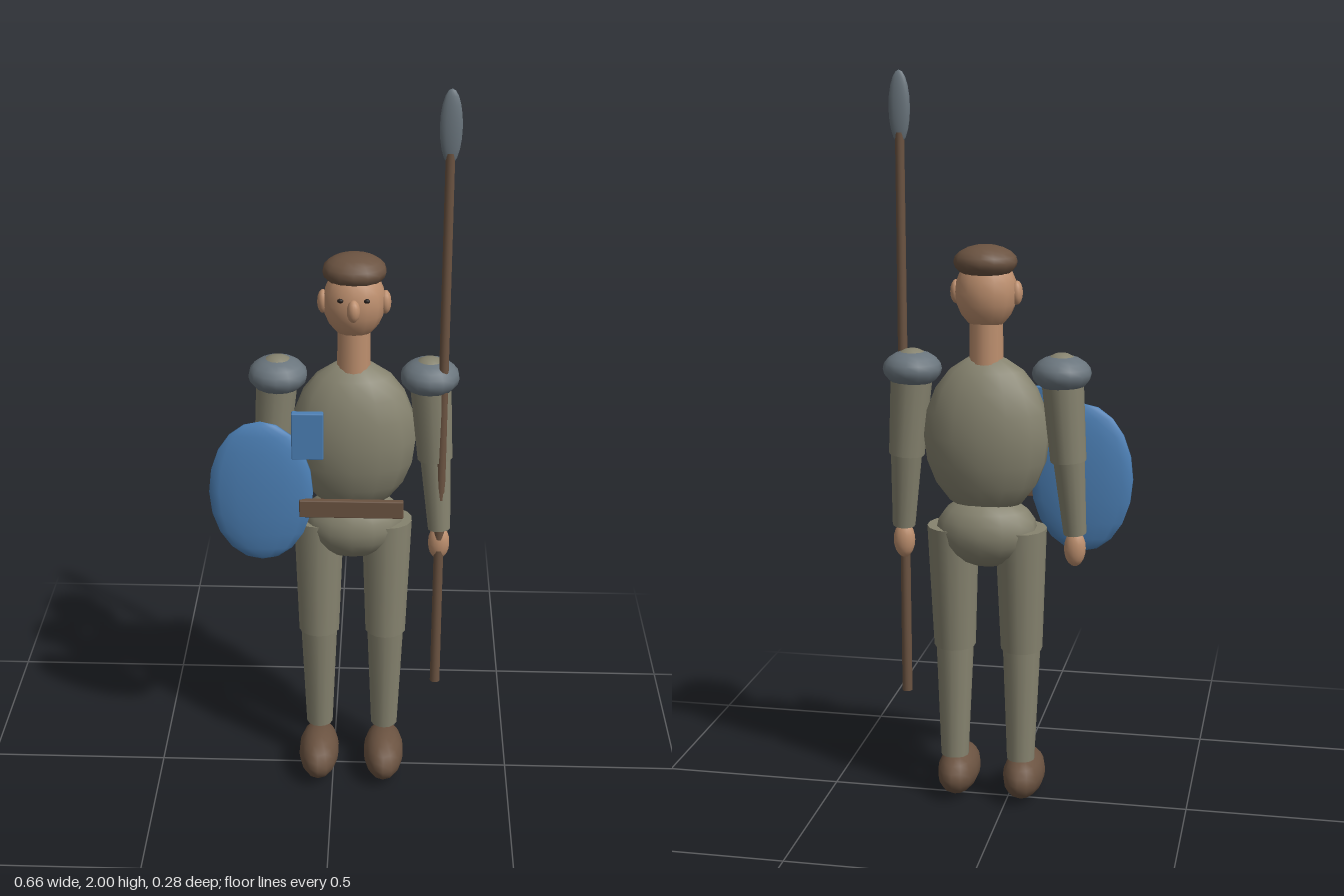
import * as THREE from 'three';
import { RoundedBoxGeometry } from 'three/addons/geometries/RoundedBoxGeometry.js';

const material = (name, color) => {
  const m = new THREE.MeshStandardMaterial({ color });
  m.name = name;
  return m;
};

export function createModel() {
  const cloth = material('cloth', 0x86836f);
  const brown = material('brown leather', 0x6b5341);
  const skin = material('skin', 0xbd8f6e);
  const steel = material('steel', 0x6a757d);
  const blue = material('blue paint', 0x4c80b6);
  const dark = material('dark eye', 0x241d1a);

  const CX = 0.052; // body centre line
  const CZ = -0.033;
  const SEG = 14;
  const model = new THREE.Group();
  model.name = 'guard';

  function add(name, geometry, mat) {
    const mesh = new THREE.Mesh(geometry, mat);
    mesh.name = name;
    model.add(mesh);
    return mesh;
  }

  // Ellipsoid given by centre and half extents
  function ellipsoid(name, mat, [x, y, z], [rx, ry, rz], rings = 10) {
    const g = new THREE.SphereGeometry(1, SEG, rings).rotateY(Math.PI / 2);
    g.scale(rx / Math.cos(Math.PI / SEG), ry, rz);
    add(name, g, mat).position.set(x, y, z);
  }

  // Tapered limb between two points
  function limb(name, mat, from, to, r0, r1) {
    const a = new THREE.Vector3(...from);
    const b = new THREE.Vector3(...to);
    const dir = a.clone().sub(b);
    const mesh = add(name, new THREE.CylinderGeometry(r0, r1, dir.length(), SEG), mat);
    mesh.position.copy(a).add(b).multiplyScalar(0.5);
    mesh.quaternion.setFromUnitVectors(new THREE.Vector3(0, 1, 0), dir.normalize());
  }

  function box(name, mat, [x, y, z], [w, h, d]) {
    add(name, new RoundedBoxGeometry(w, h, d, 1, 0.003), mat).position.set(x, y, z);
  }

  // Trunk
  ellipsoid('torso', cloth, [CX, 1.05, CZ], [0.166, 0.22, 0.108]);
  ellipsoid('pelvis', cloth, [CX, 0.79, CZ], [0.135, 0.1, 0.1]);

  // Head
  limb('neck', skin, [CX, 1.39, CZ], [CX, 1.22, CZ], 0.043, 0.046);
  ellipsoid('head', skin, [CX, 1.435, CZ], [0.08, 0.1, 0.074]);
  ellipsoid('hair', brown, [CX, 1.515, -0.042], [0.082, 0.045, 0.076]);
  ellipsoid('nose', skin, [CX, 1.434, 0.043], [0.017, 0.03, 0.02], 8);

  // Mirrored parts
  for (const [s, side] of [[1, 'left'], [-1, 'right']]) {
    const at = (x, y, z) => [CX + s * x, y, z];

    ellipsoid(`${side}Ear`, skin, at(0.081, 1.434, -0.03), [0.015, 0.032, 0.022], 8);
    ellipsoid(`${side}Eye`, dark, at(0.034, 1.458, 0.032), [0.008, 0.006, 0.006], 6);

    // Arm
    ellipsoid(`${side}ShoulderGuard`, steel, at(0.201, 1.225, CZ), [0.077, 0.05, 0.077]);
    ellipsoid(`${side}ShoulderJoint`, cloth, at(0.201, 1.225, CZ), [0.055, 0.055, 0.055]);
    limb(`${side}UpperArm`, cloth, at(0.201, 1.235, CZ), at(0.22, 0.99, -0.03), 0.057, 0.048);
    limb(`${side}Forearm`, cloth, at(0.22, 1.01, -0.03), at(0.236, 0.785, -0.008), 0.043, 0.031);
    ellipsoid(`${side}Hand`, skin, at(0.236, 0.742, -0.006), [0.029, 0.05, 0.025]);

    // Leg
    limb(`${side}Thigh`, cloth, at(0.093, 0.8, -0.033), at(0.093, 0.455, -0.019), 0.07, 0.057);
    limb(`${side}Shin`, cloth, at(0.093, 0.47, -0.018), at(0.093, 0.135, -0.031), 0.052, 0.038);
    ellipsoid(`${side}Shoe`, brown, at(0.093, 0.07, 0.026), [0.056, 0.065, 0.115]);
  }

  // Belt front and chest plaque
  box('belt', brown, [0.05, 0.885, 0.078], [0.278, 0.05, 0.018]);
  box('chestPlaque', blue, [-0.066, 1.1, 0.081], [0.084, 0.132, 0.022]);

  // Shield
  ellipsoid('shield', blue, [-0.192, 0.922, 0.058], [0.139, 0.206, 0.03]);

  // Spear
  limb('spearShaft', brown, [0.288, 1.84, 0.004], [0.288, 0.3, 0.004], 0.012, 0.014);
  ellipsoid('spearHead', steel, [0.288, 1.905, 0.004], [0.028, 0.095, 0.014]);

  return model;
}
